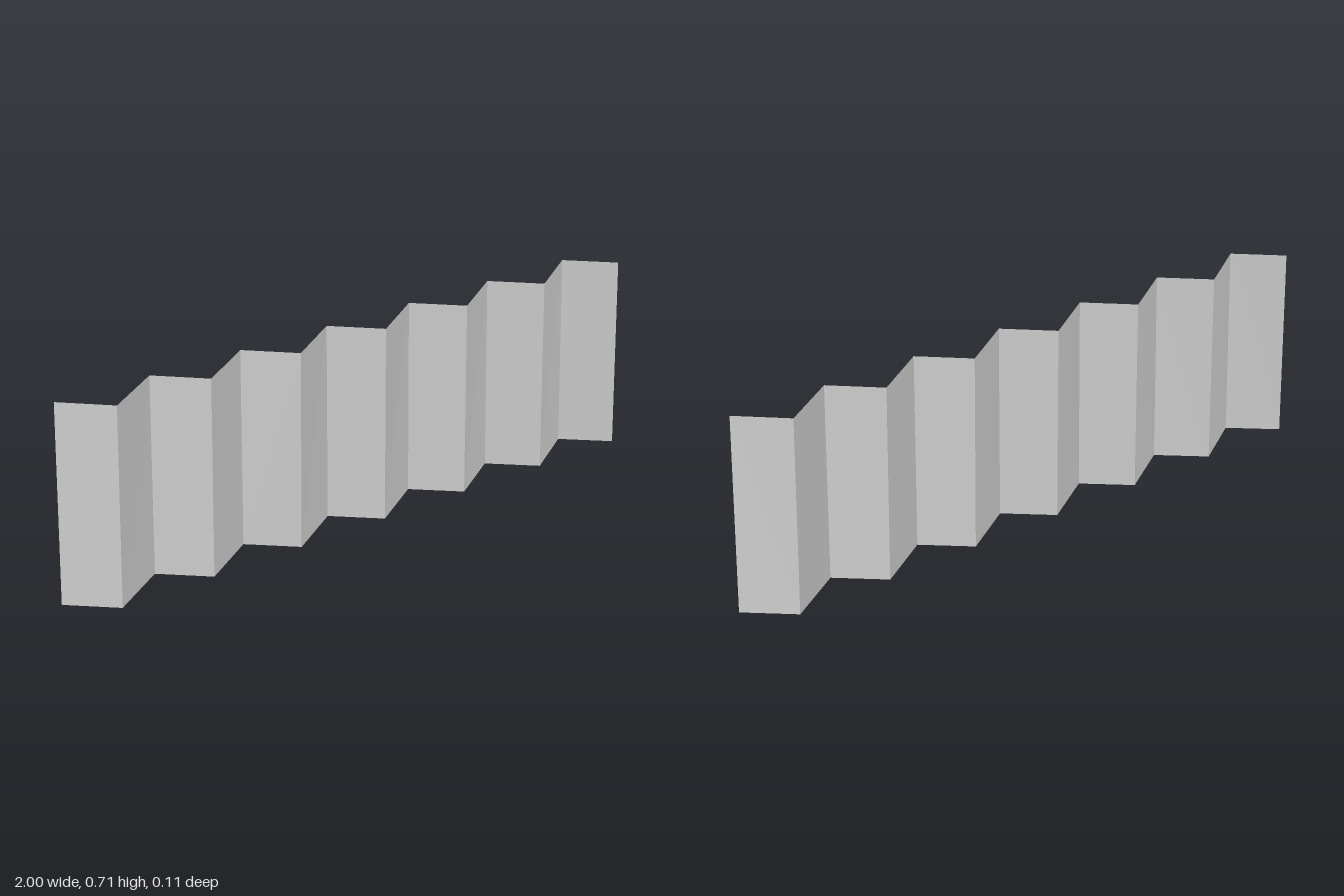
import * as THREE from 'three';

const PANELS = 13;
const HEIGHT = 0.707;
const DEPTH = 0.053; // fold offset either side of z = 0
const TOP_HALF = 0.953; // half width at the top edge, 1 at the bottom

export function createModel() {
  const group = new THREE.Group();
  group.name = 'foldedScreen';

  // One flat grid column per panel, pleated along z and tapered towards the top
  const geometry = new THREE.PlaneGeometry(2, HEIGHT, PANELS, 1);
  geometry.translate(0, HEIGHT / 2, 0);
  const pos = geometry.attributes.position;
  for (let i = 0; i < pos.count; i++) {
    const fold = i % (PANELS + 1);
    const taper = THREE.MathUtils.lerp(1, TOP_HALF, pos.getY(i) / HEIGHT);
    pos.setX(i, pos.getX(i) * taper);
    pos.setZ(i, fold % 2 ? DEPTH : -DEPTH);
  }

  // Split the corners so every pleat keeps a crisp edge
  const pleats = geometry.toNonIndexed();
  pleats.computeVertexNormals();

  const material = new THREE.MeshStandardMaterial({
    color: 0xcccccc,
    flatShading: true,
    side: THREE.DoubleSide,
  });
  const mesh = new THREE.Mesh(pleats, material);
  mesh.name = 'pleatedPanels';
  group.add(mesh);
  return group;
}
